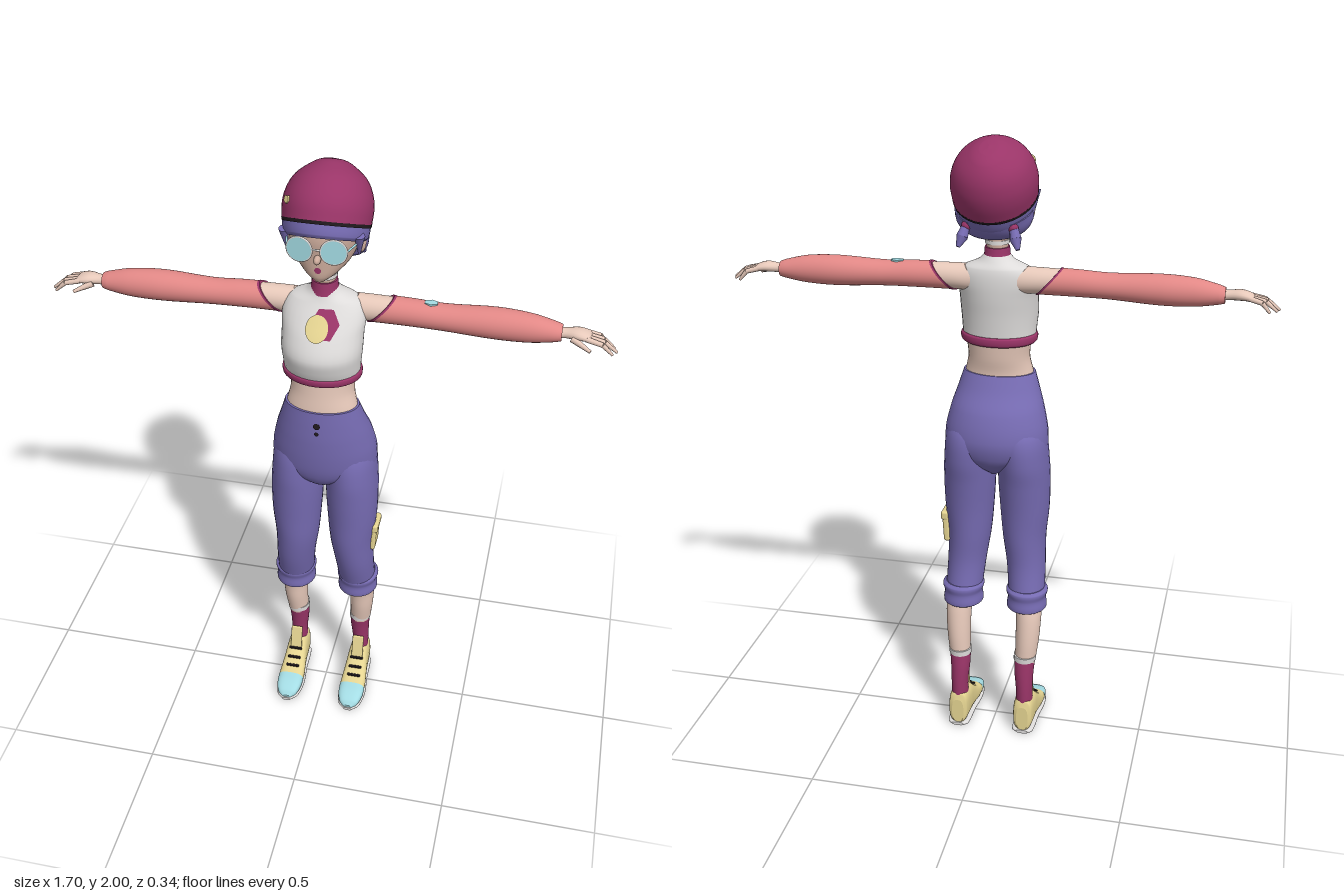
import * as THREE from 'three';
import { mergeVertices } from 'three/addons/utils/BufferGeometryUtils.js';
import { RoundedBoxGeometry } from 'three/addons/geometries/RoundedBoxGeometry.js';

const paint = (name, color) => Object.assign(new THREE.MeshStandardMaterial({ color }), { name });

// Section at height t, smoothly interpolated: [t, centre x, half width, front z, back z]
function sectionAt(rows, t) {
  let i = 0;
  while (i < rows.length - 2 && t > rows[i + 1][0]) i++;
  const a = rows[i], b = rows[i + 1], p = rows[i - 1] || a, n = rows[i + 2] || b;
  const h = b[0] - a[0], u = (t - a[0]) / h;
  return a.map((v, k) => {
    if (k === 0) return t;
    const m0 = (b[k] - p[k]) / (b[0] - p[0]) * h, m1 = (n[k] - v) / (n[0] - a[0]) * h;
    return v + u * m0 + u * u * (3 * (b[k] - v) - 2 * m0 - m1) + u * u * u * (2 * (v - b[k]) + m0 + m1);
  });
}

// Closed skin through sections stacked along y; power below 1 gives squarer sections
function loft(rows, power = 1, sides = 32, steps = 5) {
  const pos = [], idx = [], rings = (rows.length - 1) * steps + 1;
  const bend = (v) => Math.sign(v) * Math.abs(v) ** power;
  const ring = (s) => {
    for (let j = 0; j < sides; j++) {
      const a = j / sides * Math.PI * 2;
      pos.push(s[1] + s[2] * bend(Math.cos(a)), s[0], (s[3] + s[4]) / 2 + (s[3] - s[4]) / 2 * bend(Math.sin(a)));
    }
  };
  for (let r = 0; r < rings; r++) {
    const i = Math.min(Math.floor(r / steps), rows.length - 2), u = r / steps - i;
    ring(sectionAt(rows, rows[i][0] + u * (rows[i + 1][0] - rows[i][0])));
  }
  for (let r = 0; r < rings - 1; r++) for (let j = 0; j < sides; j++) {
    const a = r * sides + j, b = r * sides + (j + 1) % sides;
    idx.push(a, a + sides, b, b, a + sides, b + sides);
  }
  [rows[0], rows[rows.length - 1]].forEach((s, end) => {
    const base = pos.length / 3;
    ring(s);
    pos.push(s[1], s[0], (s[3] + s[4]) / 2);
    for (let j = 0; j < sides; j++) {
      const a = base + j, b = base + (j + 1) % sides, c = base + sides;
      idx.push(...(end ? [a, c, b] : [a, b, c]));
    }
  });
  const g = new THREE.BufferGeometry();
  g.setAttribute('position', new THREE.Float32BufferAttribute(pos, 3));
  g.setIndex(idx);
  g.computeVertexNormals();
  return g;
}

// Tapered round bar between two points
function bar(a, b, r0, r1) {
  const A = new THREE.Vector3(...a), B = new THREE.Vector3(...b), d = B.clone().sub(A);
  const q = new THREE.Quaternion().setFromUnitVectors(new THREE.Vector3(0, 1, 0), d.clone().normalize());
  const g = new THREE.CylinderGeometry(r1, r0, d.length(), 10).applyQuaternion(q);
  return g.translate(...A.add(B).multiplyScalar(0.5).toArray());
}

function mirror(geo) {
  const g = geo.index ? geo.clone() : mergeVertices(geo);
  g.scale(-1, 1, 1);
  const ix = g.index.array;
  for (let i = 0; i < ix.length; i += 3) [ix[i + 1], ix[i + 2]] = [ix[i + 2], ix[i + 1]];
  return g;
}

// Thin disc laid on the front of a loft
function patch(rows, x, y, r, sides, lift) {
  const g = new THREE.RingGeometry(0.0005, r, sides, 4).translate(x, y, 0), p = g.attributes.position;
  for (let i = 0; i < p.count; i++) {
    const s = sectionAt(rows, p.getY(i)), k = (p.getX(i) - s[1]) / s[2];
    p.setZ(i, (s[3] + s[4]) / 2 + (s[3] - s[4]) / 2 * Math.sqrt(Math.max(0, 1 - k * k)) + lift);
  }
  g.computeVertexNormals();
  return g;
}

export function createModel() {
  const root = new THREE.Group();
  root.name = 'figure';
  const skin = paint('skin', 0xe8cabb), face = paint('face skin', 0xcfae9e), crimson = paint('crimson', 0x9a3568);
  const purple = paint('purple', 0x766bb2), salmon = paint('salmon', 0xe28886), white = paint('white', 0xdedcdb);
  const yellow = paint('yellow', 0xe6d592), cyan = paint('cyan', 0xa4dce4), black = paint('black', 0x211a1e);
  const add = (name, geo, mat, parent = root) => {
    const m = new THREE.Mesh(geo, mat);
    m.name = name;
    parent.add(m);
  };
  const pair = (name, geo, mat, parent) => {
    add(name + 'Left', geo, mat, parent);
    add(name + 'Right', mirror(geo), mat, parent);
  };

  // Torso
  const shirt = [[1.37, 0, .115, .138, -.04], [1.41, 0, .118, .153, -.043], [1.455, 0, .122, .16, -.047], [1.51, 0, .123, .135, -.053],
    [1.56, 0, .125, .1, -.055], [1.6, 0, .105, .072, -.05], [1.62, 0, .06, .062, -.038], [1.64, 0, .038, .056, -.025]];
  add('shirt', loft(shirt), white);
  add('shirtHem', loft([[1.355, 0, .113, .135, -.04], [1.362, 0, .12, .144, -.046], [1.38, 0, .121, .147, -.047], [1.386, 0, .115, .14, -.042]]), crimson);
  add('midriff', loft([[1.2, 0, .12, .127, -.03], [1.25, 0, .11, .125, -.018], [1.31, 0, .098, .118, -.027], [1.38, 0, .106, .112, -.035]]), skin);
  add('emblemBack', patch(shirt, .018, 1.555, .043, 6, .003), crimson);
  add('emblemDisc', patch(shirt, -.003, 1.545, .034, 24, .006), yellow);
  add('neck', loft([[1.6, 0, .038, .05, -.025], [1.66, 0, .033, .052, -.018], [1.75, 0, .036, .062, -.03]]), face);
  add('collar', loft([[1.622, 0, .046, .062, -.034], [1.635, 0, .041, .06, -.027], [1.662, 0, .038, .057, -.023]]), crimson);
  add('choker', loft([[1.672, 0, .037, .056, -.022], [1.684, 0, .037, .057, -.022]]), white);

  // Trousers
  const hips = [[.93, 0, .02, .06, -.04], [.96, 0, .08, .1, -.075], [1.0, 0, .155, .122, -.1], [1.06, 0, .166, .133, -.11],
    [1.14, 0, .151, .137, -.088], [1.2, 0, .132, .135, -.05], [1.255, 0, .115, .131, -.022]];
  add('trouserHips', loft(hips), purple);
  pair('trouserLeg', loft([[.49, .107, .06, .052, -.08], [.6, .1, .064, .085, -.062], [.7, .092, .071, .103, -.064], [.8, .092, .08, .11, -.07],
    [.9, .09, .084, .117, -.083], [.98, .088, .082, .12, -.097], [1.06, .08, .08, .11, -.094], [1.12, .07, .06, .08, -.06]]), purple);
  pair('trouserCuff', loft([[.447, .108, .056, .045, -.075], [.455, .108, .066, .055, -.086], [.49, .108, .063, .054, -.083],
    [.515, .108, .069, .06, -.086], [.525, .108, .058, .05, -.075]]), purple);
  for (const y of [1.212, 1.185]) add('fastening', patch(hips, 0, y, y > 1.2 ? .011 : .007, 12, .004), black);
  add('pocket', new RoundedBoxGeometry(.022, .1, .072, 2, .008).rotateZ(-.06).translate(.164, .715, .008), yellow);
  add('pocketFlap', new RoundedBoxGeometry(.026, .03, .078, 2, .008).translate(.168, .757, .009), yellow);

  // Lower legs
  pair('shin', loft([[.26, .112, .034, -.02, -.093], [.34, .117, .039, -.004, -.092], [.42, .119, .042, .005, -.083], [.48, .116, .046, .03, -.07]]), skin);
  pair('sock', loft([[.08, .112, .028, -.025, -.1], [.16, .112, .028, -.033, -.102], [.22, .11, .032, -.027, -.1], [.268, .111, .035, -.019, -.095]]), crimson);
  pair('sockBand', loft([[.268, .111, .037, -.017, -.097], [.287, .112, .038, -.015, -.098]]), white);

  // Shoes, lofted heel to toe
  const shoe = (rows) => loft(rows, .72, 28).rotateX(Math.PI / 2);
  pair('shoe', shoe([[-.105, .112, .02, -.012, -.1], [-.098, .112, .031, -.008, -.125], [-.05, .112, .036, -.008, -.128], [-.015, .112, .037, -.008, -.12],
    [.02, .112, .04, -.008, -.092], [.05, .112, .043, -.008, -.07], [.085, .112, .044, -.008, -.058]]), yellow);
  pair('toeCap', shoe([[.082, .112, .0445, -.008, -.059], [.115, .112, .042, -.008, -.051], [.145, .112, .031, -.008, -.036], [.158, .112, .014, -.009, -.02]]), cyan);
  pair('sole', shoe([[-.108, .112, .02, 0, -.012], [-.095, .112, .035, 0, -.014], [0, .112, .04, 0, -.014], [.08, .112, .047, 0, -.014],
    [.14, .112, .036, 0, -.014], [.162, .112, .013, 0, -.012]]), white);
  pair('shoeTongue', new RoundedBoxGeometry(.04, .09, .01, 2, .004).rotateX(-.25).translate(.112, .145, -.012).rotateX(.0), yellow);
  for (const [z, y] of [[.005, .107], [.03, .086], [.055, .069]])
    pair('lace', new RoundedBoxGeometry(.046, .007, .01, 1, .003).translate(.112, y, z), black);

  // Arms, lofted outwards; the shoulder seam slants
  const arm = (rows) => {
    const g = loft(rows).rotateZ(-Math.PI / 2), p = g.attributes.position;
    for (let i = 0; i < p.count; i++) {
      const x = p.getX(i);
      p.setX(i, x + (p.getY(i) - 1.567) * .9 * THREE.MathUtils.clamp(1 - (x - .165) / .15, 0, 1));
    }
    g.computeVertexNormals();
    return g;
  };
  pair('shoulder', arm([[.06, -1.566, .042, .036, -.04], [.12, -1.566, .041, .037, -.042], [.2, -1.567, .038, .036, -.04]]), skin);
  pair('sleeveTrim', arm([[.162, -1.567, .0435, .041, -.046], [.17, -1.567, .0435, .041, -.046]]), crimson);
  pair('sleeve', arm([[.168, -1.567, .042, .039, -.044], [.25, -1.566, .041, .039, -.044], [.35, -1.563, .04, .04, -.043], [.5, -1.562, .047, .044, -.05],
    [.6, -1.56, .043, .04, -.043], [.67, -1.557, .03, .03, -.033], [.69, -1.556, .024, .024, -.028]]), salmon);
  add('sleevePatch', new THREE.CylinderGeometry(.018, .018, .006, 6).scale(1.2, 1, .8).translate(.31, 1.604, -.002), cyan);

  // Hands
  pair('palm', loft([[.67, -1.556, .017, .018, -.02], [.7, -1.558, .015, .017, -.019], [.735, -1.56, .016, .027, -.028],
    [.765, -1.556, .012, .027, -.03], [.775, -1.552, .007, .022, -.026]], 1, 16).rotateZ(-Math.PI / 2), skin);
  [[-.024, .822], [-.008, .843], [.008, .85], [.022, .838]].forEach(([z, tip]) => {
    const mid = (tip + .765) / 2 + .005;
    pair('fingerBase', bar([.76, 1.556, z * .9], [mid, 1.546, z * 1.1], .0085, .0075), skin);
    pair('fingerTip', bar([mid, 1.546, z * 1.1], [tip, 1.518, z * 1.2], .0075, .004), skin);
  });
  pair('thumb', bar([.72, 1.552, .018], [.775, 1.53, .043], .011, .005), skin);

  // Head
  const head = [[1.692, 0, .018, .1, .05], [1.71, 0, .045, .108, .01], [1.74, 0, .077, .11, -.05], [1.78, 0, .098, .111, -.085],
    [1.83, 0, .108, .114, -.1], [1.88, 0, .108, .1, -.11], [1.92, 0, .08, .06, -.09]];
  add('head', loft(head), face);
  add('nose', new THREE.SphereGeometry(.013, 14, 10).scale(.8, 1, 1.4).translate(0, 1.772, .117), face);
  add('mouth', patch(head, 0, 1.735, .01, 12, .002).scale(1, 1, 1), crimson);
  pair('ear', new THREE.SphereGeometry(.026, 14, 10).scale(.5, 1, .75).translate(.104, 1.778, .005), face);
  pair('eye', patch(head, .05, 1.803, .016, 16, .003), black);

  // Glasses
  pair('lens', new THREE.CylinderGeometry(.036, .036, .005, 28).rotateX(Math.PI / 2).rotateY(.12).translate(.049, 1.806, .126), cyan);
  pair('lensRim', new THREE.TorusGeometry(.037, .003, 8, 32).rotateY(.12).translate(.049, 1.806, .126), white);
  add('glassesBridge', bar([-.013, 1.81, .13], [.013, 1.81, .13], .003, .003), white);
  pair('glassesArm', bar([.086, 1.81, .122], [.112, 1.8, .01], .003, .003), cyan);

  // Hat and hair share a tilted frame, low at the back
  const cap = new THREE.Group();
  cap.name = 'hatAndHair';
  cap.position.set(0, 1.835, -.01);
  cap.rotation.x = -.46;
  root.add(cap);
  add('hat', loft([[-.005, 0, .128, .144, -.144], [.04, 0, .13, .146, -.146], [.08, 0, .122, .134, -.14], [.12, 0, .1, .106, -.122],
    [.152, 0, .06, .06, -.09], [.166, 0, .03, .025, -.055], [.169, 0, .002, -.01, -.02]], 1, 40), crimson, cap);
  add('hatBand', loft([[-.014, 0, .127, .142, -.142], [-.004, 0, .1285, .1445, -.1445]], 1, 40), black, cap);
  add('hairFringe', loft([[-.052, 0, .112, .122, -.13], [-.042, 0, .122, .132, -.136], [-.005, 0, .126, .139, -.139]], 1, 40), purple, cap);
  add('hairBack', loft([[-.1, 0, .07, 0, -.1], [-.09, 0, .098, .02, -.118], [-.065, 0, .116, .045, -.13], [-.03, 0, .12, .07, -.134]]), purple, cap);
  add('hatPin', new THREE.CylinderGeometry(.012, .012, .006, 5).rotateX(Math.PI / 2).rotateY(-.75).translate(-.098, .045, .1), yellow, cap);
  pair('sideLock', bar([.108, 1.83, .06], [.105, 1.765, .045], .016, .003), purple);
  pair('hairTie', new THREE.SphereGeometry(.016, 12, 8).translate(.07, 1.745, -.088), crimson);
  pair('pigtailTop', bar([.07, 1.75, -.085], [.08, 1.715, -.102], .012, .018), purple);
  pair('pigtailTip', bar([.08, 1.715, -.102], [.09, 1.687, -.116], .018, .006), purple);
  return root;
}
